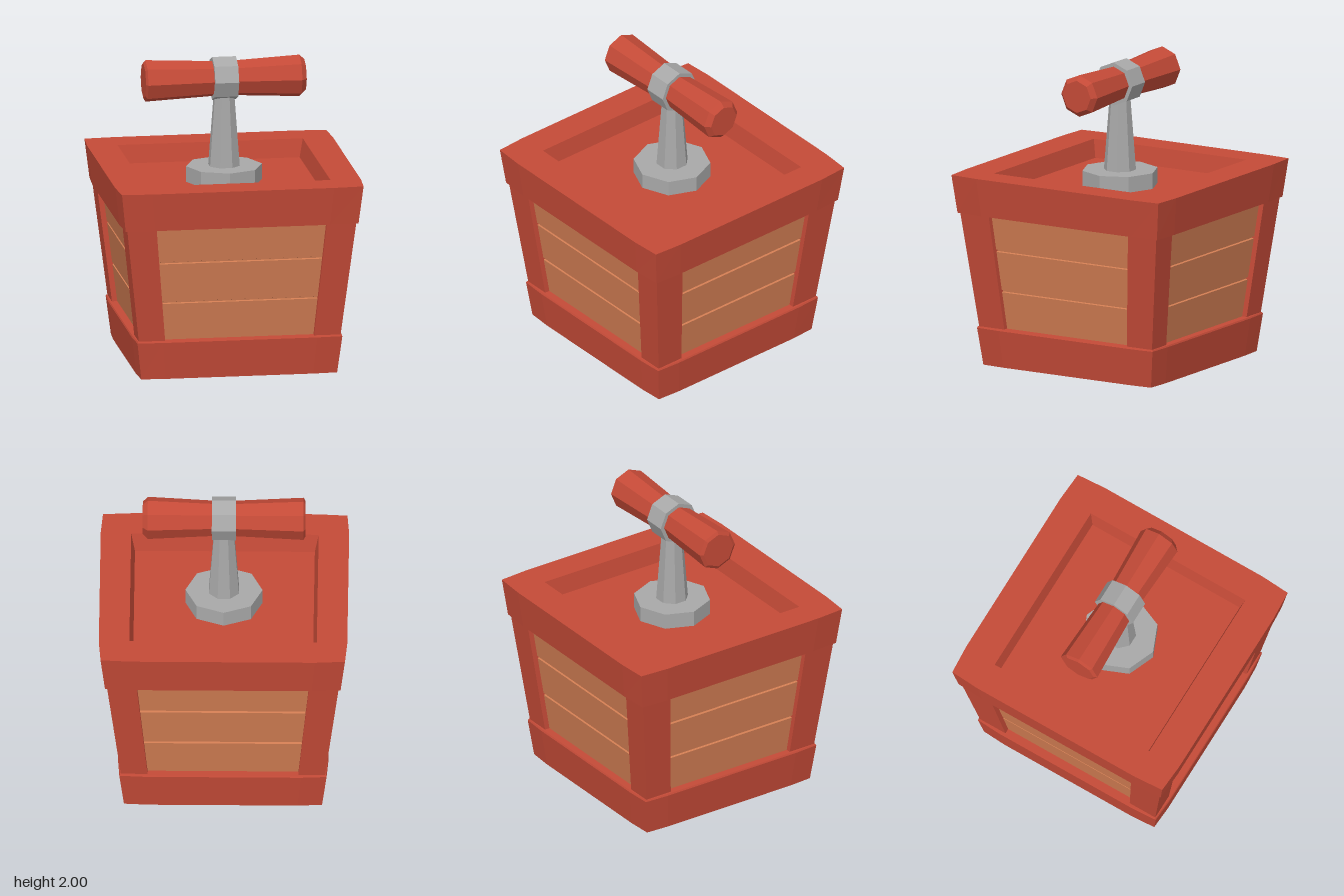
import * as THREE from 'three';

const paint = (name, color) => new THREE.MeshStandardMaterial({ name, color, flatShading: true });

// Skin a stack of closed rings (points run from +x towards +z) and cap both ends.
function loft(rings) {
  const pos = [];
  const tri = (a, b, c) => pos.push(...a, ...b, ...c);
  const n = rings[0].length;
  const middle = (r) => [0, 1, 2].map((k) => r.reduce((s, p) => s + p[k], 0) / n);
  for (let j = 0; j < n; j++) {
    const k = (j + 1) % n;
    for (let i = 0; i + 1 < rings.length; i++) {
      const lo = rings[i], hi = rings[i + 1];
      tri(lo[j], hi[j], lo[k]);
      tri(lo[k], hi[j], hi[k]);
    }
    const first = rings[0], last = rings[rings.length - 1];
    tri(middle(first), first[j], first[k]);
    tri(middle(last), last[k], last[j]);
  }
  const g = new THREE.BufferGeometry();
  g.setAttribute('position', new THREE.Float32BufferAttribute(pos, 3));
  g.computeVertexNormals();
  return g;
}

// Plain rectangular ring between two corners.
const rect = (y, x0, z0, x1, z1) => [[x1, y, z0], [x1, y, z1], [x0, y, z1], [x0, y, z0]];

// Rectangle with two extra points per side; the corners may be pulled in a little.
function wornRect(y, a, b, pull = 0) {
  const s = 0.74, c = a - pull, d = b - pull;
  return [
    [a, y, -b * s], [a, y, b * s], [c, y, d],
    [a * s, y, b], [-a * s, y, b], [-c, y, d],
    [-a, y, b * s], [-a, y, -b * s], [-c, y, -d],
    [-a * s, y, -b], [a * s, y, -b], [c, y, -d],
  ];
}

export function createModel() {
  const red = paint('red paint', 0xc44a37);
  const wood = paint('light wood', 0xd07c52);
  const metal = paint('grey metal', 0xa8a8a8);

  const model = new THREE.Group();
  model.name = 'plungerBox';
  const add = (name, geometry, material, y = 0) => {
    const mesh = new THREE.Mesh(geometry, material);
    mesh.name = name;
    mesh.position.y = y;
    model.add(mesh);
    return mesh;
  };

  // Bottom frame
  add('baseFrame', loft([
    wornRect(0, 0.66, 0.66, 0.01),
    wornRect(0.25, 0.69, 0.69, 0.01),
    wornRect(0.26, 0.685, 0.685, 0.01),
  ]), red);

  // Planked walls: one tapered core with grooves between the boards
  const wall = (y) => 0.635 + (y - 0.26) * 0.117;
  const square = (y, inset = 0) => {
    const h = wall(y) - inset;
    return rect(y, -h, -h, h, h);
  };
  const boards = [square(0.2)];
  for (const y of [0.515, 0.79]) {
    boards.push(square(y - 0.008), square(y - 0.004, 0.015), square(y + 0.004, 0.015), square(y + 0.008));
  }
  boards.push(square(1.1));
  add('plankWalls', loft(boards), wood);

  // Four leaning corner posts
  const postRing = (y, sx, sz) => {
    const t = (y - 0.26) / 0.77;
    const x = 0.495 + 0.07 * t, z = 0.475 + 0.065 * t, o = 0.67 + 0.09 * t;
    return rect(y, Math.min(sx * x, sx * o), Math.min(sz * z, sz * o),
      Math.max(sx * x, sx * o), Math.max(sz * z, sz * o));
  };
  for (const sx of [-1, 1]) for (const sz of [-1, 1]) {
    const name = (sz > 0 ? 'front' : 'back') + (sx > 0 ? 'Left' : 'Right') + 'Post';
    add(name, loft([postRing(0.2, sx, sz), postRing(1.1, sx, sz)]), red);
  }

  // Lid with a sunken middle
  add('lid', loft([
    wornRect(1.03, 0.785, 0.785, 0.012),
    wornRect(1.285, 0.815, 0.815, 0.013),
    wornRect(1.285, 0.615, 0.59),
    wornRect(1.165, 0.59, 0.563),
  ]), red);

  // Metal flange and tapered shaft
  add('flange', new THREE.CylinderGeometry(0.253, 0.253, 0.11, 8), metal, 1.215);
  const k = 1 / Math.cos(Math.PI / 8);
  const shaft = new THREE.CylinderGeometry(0.063 * k, 0.1 * k, 0.52, 8).rotateY(Math.PI / 8);
  add('shaft', shaft, metal, 1.51);

  // Cross handle, thinner at the middle, with bevelled ends
  const profile = [
    [0, -0.535], [0.118, -0.535], [0.14, -0.522], [0.118, -0.08],
    [0.118, 0.08], [0.14, 0.5], [0.108, 0.533], [0, 0.533],
  ].map(([r, h]) => new THREE.Vector2(r, h));
  add('handle', new THREE.LatheGeometry(profile, 8).rotateZ(-Math.PI / 2), red, 1.855);

  // Collar holding the handle
  add('collar', new THREE.CylinderGeometry(0.145, 0.145, 0.158, 8).rotateZ(-Math.PI / 2), metal, 1.855);

  return model;
}
